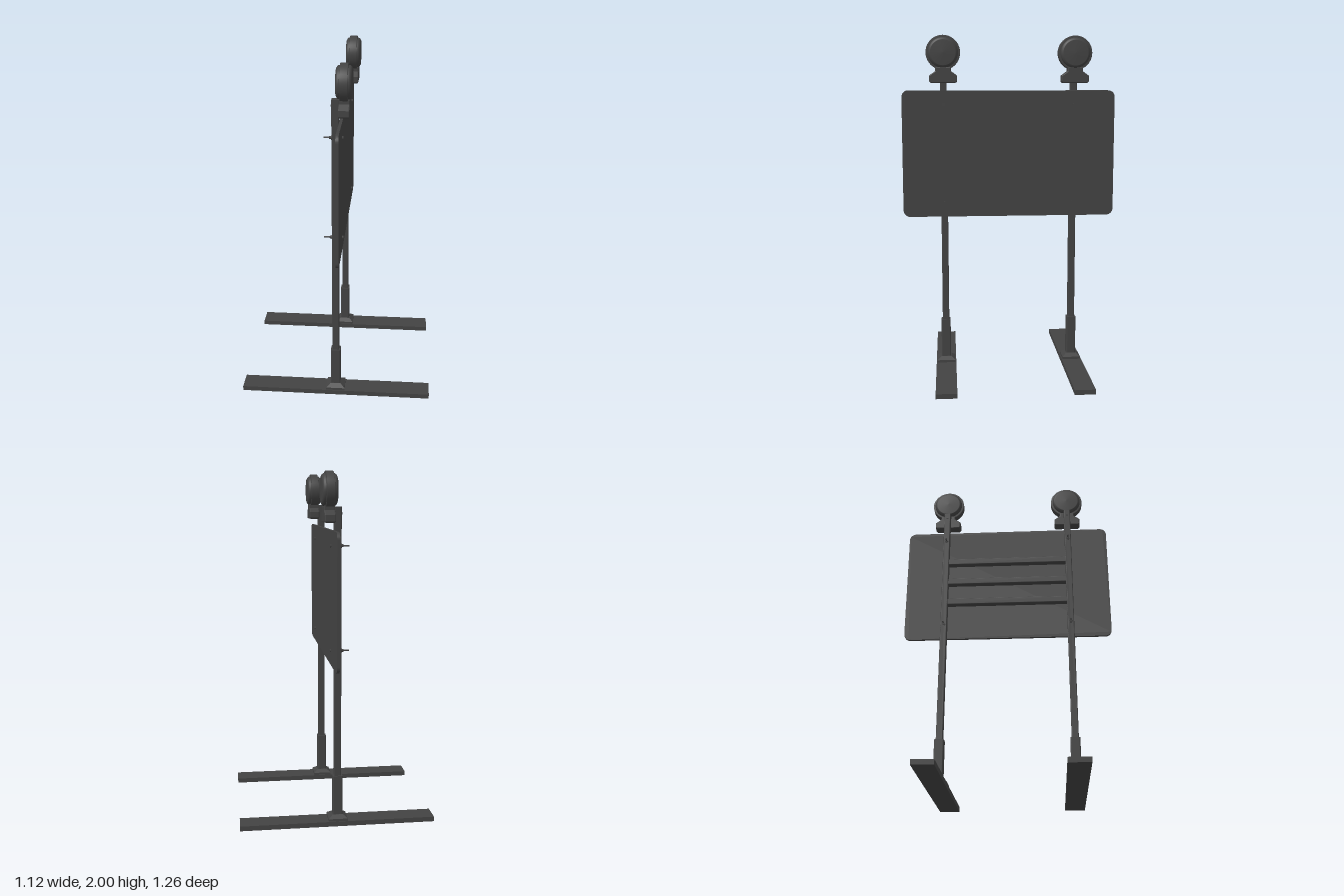
import * as THREE from 'three';

const material = new THREE.MeshStandardMaterial({ color: 0x434343 });

function add(parent, name, geometry, x = 0, y = 0, z = 0) {
  const mesh = new THREE.Mesh(geometry, material);
  mesh.name = name;
  mesh.position.set(x, y, z);
  parent.add(mesh);
  return mesh;
}

// Cylinder lying along x
function rodX(radius, length, sides = 16) {
  return new THREE.CylinderGeometry(radius, radius, length, sides).rotateZ(Math.PI / 2);
}

// Shape thickened along z and centred on it
function plate(shape, depth, bevel = 0) {
  return new THREE.ExtrudeGeometry(shape, {
    depth: depth - 2 * bevel, curveSegments: 8, bevelEnabled: bevel > 0,
    bevelSize: bevel, bevelThickness: bevel, bevelOffset: -bevel, bevelSegments: 2,
  }).translate(0, 0, -depth / 2 + bevel);
}

function roundedRect(w, h, r) {
  const s = new THREE.Shape();
  s.absarc(w / 2 - r, h / 2 - r, r, 0, Math.PI / 2);
  s.absarc(-w / 2 + r, h / 2 - r, r, Math.PI / 2, Math.PI);
  s.absarc(-w / 2 + r, -h / 2 + r, r, Math.PI, Math.PI * 1.5);
  s.absarc(w / 2 - r, -h / 2 + r, r, Math.PI * 1.5, Math.PI * 2);
  s.closePath();
  return s;
}

// Square bar with softened edges, lying along z
function squareBar(size, length) {
  return plate(roundedRect(size, size, size * 0.12), length);
}

// Warning lamp: round lens in a ring, above a battery case
function createLamp() {
  const lamp = new THREE.Group();
  lamp.name = 'warningLamp';

  const half = [[0.088, 0.021], [0.087, 0.031], [0.082, 0.038], [0.075, 0.041], [0.073, 0.043], [0, 0.046]];
  const profile = [...half.map(([r, x]) => [r, -x]).reverse(), ...half].map(([r, x]) => new THREE.Vector2(r, x));
  add(lamp, 'lens', new THREE.LatheGeometry(profile, 40).rotateZ(-Math.PI / 2), 0.048, 1.9);

  const ring = [[0.085, -0.022], [0.098, -0.022], [0.1, -0.02], [0.1, 0.02], [0.098, 0.022], [0.085, 0.022]]
    .map(([r, x]) => new THREE.Vector2(r, x));
  add(lamp, 'lensRing', new THREE.LatheGeometry(ring, 40).rotateZ(-Math.PI / 2), 0.048, 1.9);

  const outline = [[-0.072, 0], [0.072, 0], [0.081, 0.008], [0.081, 0.042], [0.045, 0.068],
    [0.045, 0.09], [-0.045, 0.09], [-0.045, 0.068], [-0.081, 0.042], [-0.081, 0.008]];
  const caseShape = new THREE.Shape(outline.map(([z, y]) => new THREE.Vector2(z, y)));
  add(lamp, 'batteryCase', plate(caseShape, 0.06, 0.005).rotateY(Math.PI / 2), 0.05, 1.726);
  add(lamp, 'lampBolt', rodX(0.006, 0.05, 10), 0, 1.775);
  return lamp;
}

// Bolt that clamps the panel to a post
function createPanelBolt() {
  const bolt = new THREE.Group();
  bolt.name = 'panelBolt';
  add(bolt, 'shank', rodX(0.004, 0.108, 10), -0.01);
  add(bolt, 'head', rodX(0.009, 0.008, 6), 0.04);
  add(bolt, 'washer', rodX(0.012, 0.003), -0.022);
  add(bolt, 'nut', rodX(0.009, 0.009, 6), -0.028);
  return bolt;
}

// One upright with its foot, socket, lamp and bolts
function createUpright() {
  const upright = new THREE.Group();
  upright.name = 'upright';
  add(upright, 'foot', new THREE.BoxGeometry(1.124, 0.028, 0.12), 0, 0.014);
  add(upright, 'flange', new THREE.BoxGeometry(0.11, 0.016, 0.11), 0, 0.034);
  add(upright, 'flangeTaper',
    new THREE.CylinderGeometry(0.03 * Math.SQRT2, 0.055 * Math.SQRT2, 0.018, 4).rotateY(Math.PI / 4).toNonIndexed(),
    0, 0.051).geometry.computeVertexNormals();
  add(upright, 'socket', squareBar(0.056, 0.25).rotateX(Math.PI / 2), 0, 0.165);
  add(upright, 'post', squareBar(0.04, 1.61).rotateX(Math.PI / 2), 0, 1.005);
  for (const y of [1.018, 1.6]) {
    const bolt = createPanelBolt();
    bolt.position.y = y;
    upright.add(bolt);
  }
  upright.add(createLamp());
  return upright;
}

export function createModel() {
  const model = new THREE.Group();
  model.name = 'roadSign';

  const postZ = 0.387;
  for (const side of [-1, 1]) {
    const upright = createUpright();
    upright.position.z = side * postZ;
    model.add(upright);
  }

  // Sign panel
  add(model, 'signPanel', plate(roundedRect(1.264, 0.75, 0.04), 0.016).rotateY(Math.PI / 2), 0.028, 1.308);

  // Cross rails between the posts
  for (const y of [1.17, 1.31, 1.45]) {
    add(model, 'crossRail', squareBar(0.04, 2 * postZ - 0.04), 0, y);
  }
  return model;
}
